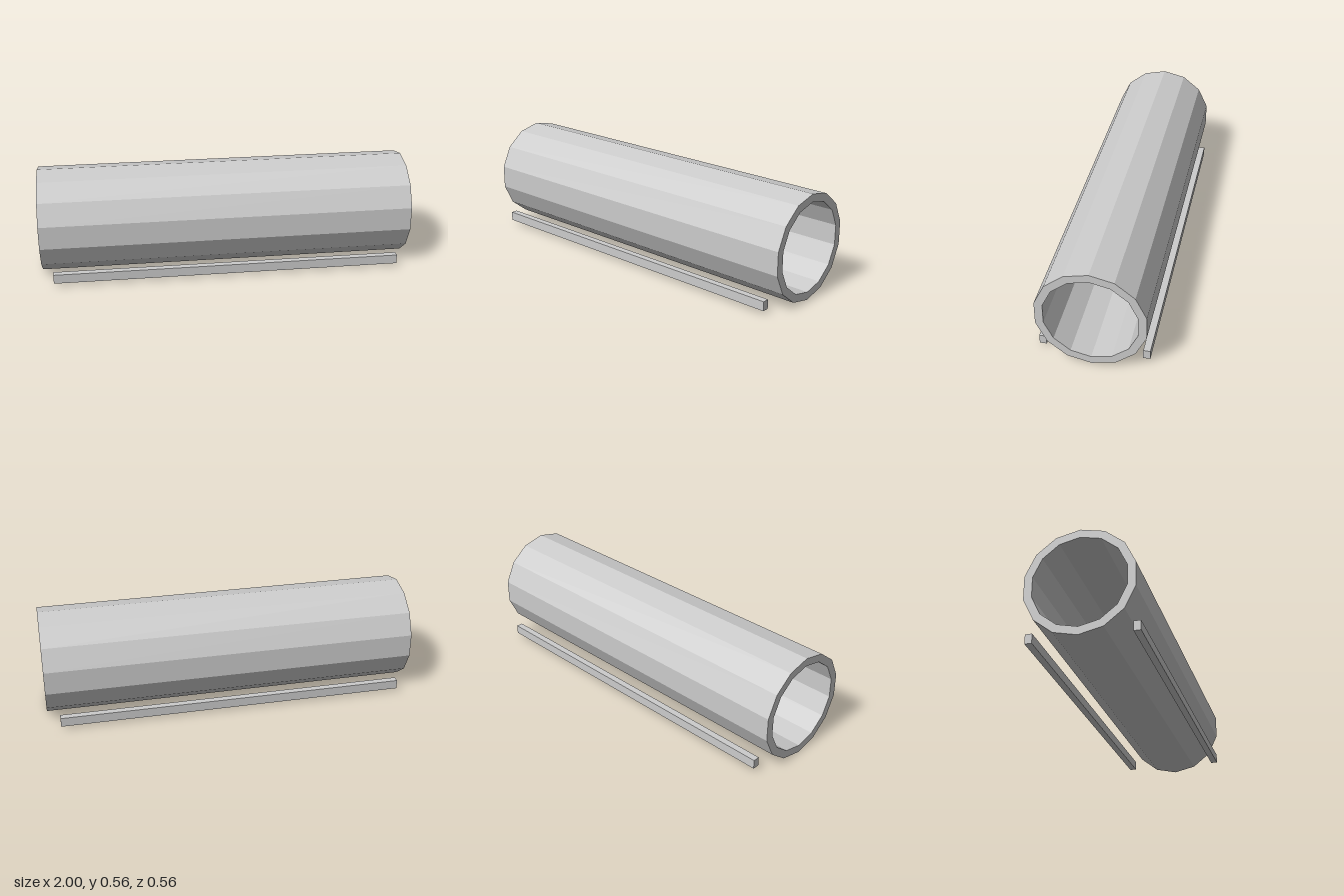
import * as THREE from 'three';

const SIDES = 14;
const CENTRE_Y = 0.282;

// Regular polygon with a corner at the top
function polygon(radius) {
  const points = [];
  for (let i = 0; i < SIDES; i++) {
    const a = Math.PI / 2 + (i / SIDES) * Math.PI * 2;
    points.push(new THREE.Vector2(Math.cos(a) * radius, Math.sin(a) * radius));
  }
  return points;
}

export function createModel() {
  const group = new THREE.Group();
  const grey = new THREE.MeshStandardMaterial({ color: 0xcccccc, flatShading: true });
  grey.name = 'light grey';

  // Hollow faceted tube lying along x
  const ring = new THREE.Shape(polygon(0.281));
  ring.holes.push(new THREE.Path(polygon(0.2385)));
  const tubeGeometry = new THREE.ExtrudeGeometry(ring, { depth: 2, bevelEnabled: false });
  tubeGeometry.translate(0, 0, -1).rotateY(Math.PI / 2);
  const tube = new THREE.Mesh(tubeGeometry, grey);
  tube.name = 'tube';
  tube.position.y = CENTRE_Y;
  group.add(tube);

  // Separate rails low along the front and back
  for (const side of [1, -1]) {
    const rail = new THREE.Mesh(new THREE.BoxGeometry(1.872, 0.05, 0.036), grey);
    rail.name = side > 0 ? 'frontRail' : 'backRail';
    rail.position.set(-0.002, 0.045, side * 0.263);
    group.add(rail);
  }

  return group;
}
